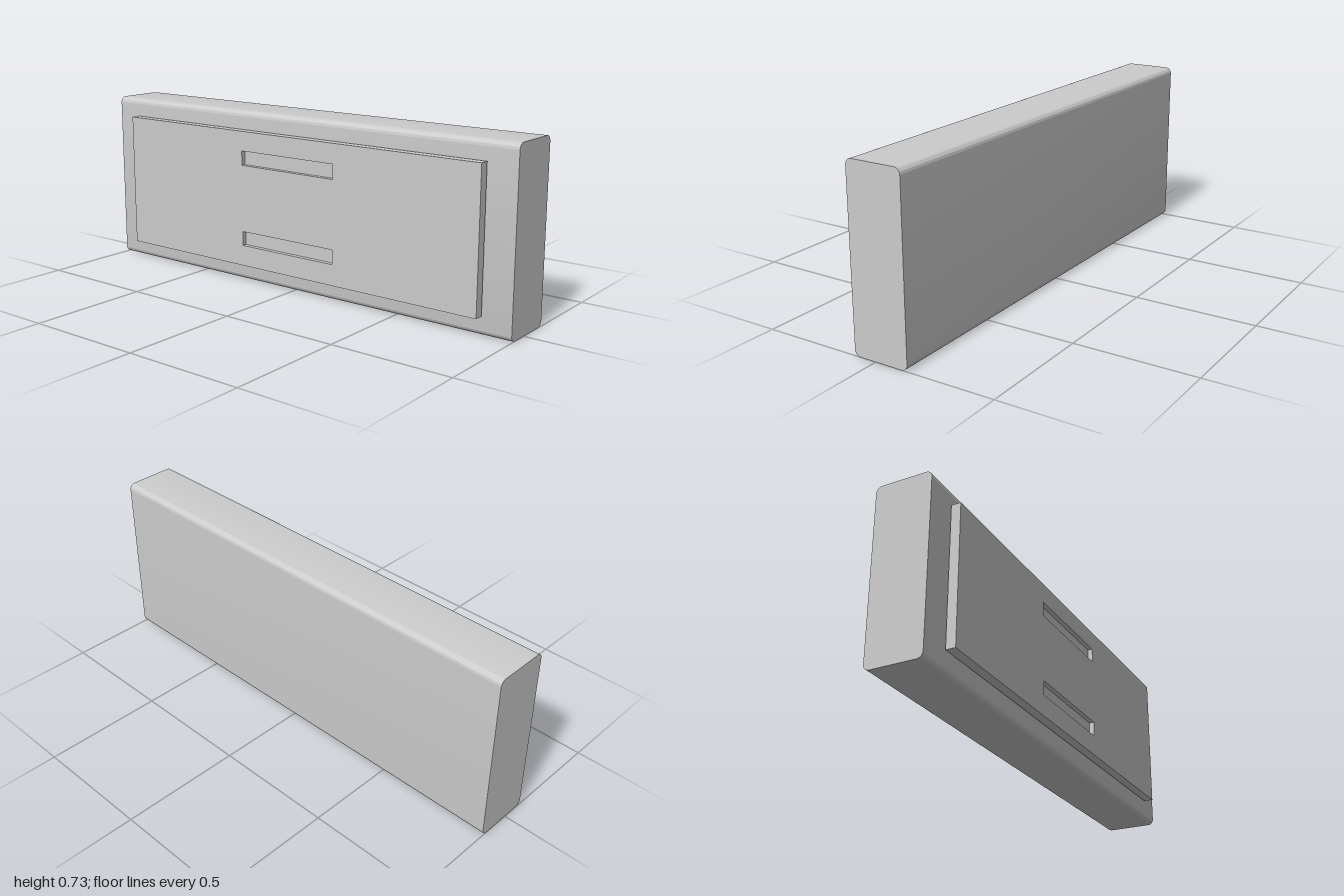
import * as THREE from 'three';
import { toCreasedNormals } from 'three/addons/utils/BufferGeometryUtils.js';

const material = new THREE.MeshStandardMaterial({ color: 0xcccccc });

function addMesh(group, name, geometry) {
  const mesh = new THREE.Mesh(geometry, material);
  mesh.name = name;
  group.add(mesh);
  return mesh;
}

// Trace a rectangle, with optional rounded corners, onto a shape or path
function rect(path, x0, y0, x1, y1, r = 0) {
  if (!r) return path.moveTo(x0, y0).lineTo(x1, y0).lineTo(x1, y1).lineTo(x0, y1).closePath();
  path.absarc(x1 - r, y0 + r, r, -Math.PI / 2, 0);
  path.absarc(x1 - r, y1 - r, r, 0, Math.PI / 2);
  path.absarc(x0 + r, y1 - r, r, Math.PI / 2, Math.PI);
  path.absarc(x0 + r, y0 + r, r, Math.PI, Math.PI * 1.5);
  return path.closePath();
}

export function createModel() {
  const group = new THREE.Group();
  group.name = 'panelledBlock';

  // Body: rounded side profile swept across the full width
  const profile = rect(new THREE.Shape(), -0.093, 0, 0.14, 0.725, 0.025);
  const body = new THREE.ExtrudeGeometry(profile, { depth: 2, bevelEnabled: false, curveSegments: 8 });
  body.translate(0, 0, -1).rotateY(Math.PI / 2);
  addMesh(group, 'body', toCreasedNormals(body, Math.PI / 6));

  // Front panel, standing just clear of the body, with two slots
  const back = 0.101, front = 0.14, slotFloor = 0.12;
  const slotWidth = 0.466, slotHeight = 0.06;
  const slotCentres = [0.195, 0.537];
  const face = rect(new THREE.Shape(), -0.88, 0.078, 0.88, 0.649);
  for (const y of slotCentres) {
    face.holes.push(rect(new THREE.Path(), -slotWidth / 2, y - slotHeight / 2, slotWidth / 2, y + slotHeight / 2));
  }
  const panel = new THREE.ExtrudeGeometry(face, { depth: front - back, bevelEnabled: false });
  addMesh(group, 'frontPanel', panel.translate(0, 0, back));

  // Closed floor of each slot
  for (const y of slotCentres) {
    const floor = new THREE.BoxGeometry(slotWidth, slotHeight, slotFloor - back);
    addMesh(group, 'slotFloor', floor).position.set(0, y, (slotFloor + back) / 2);
  }
  return group;
}
